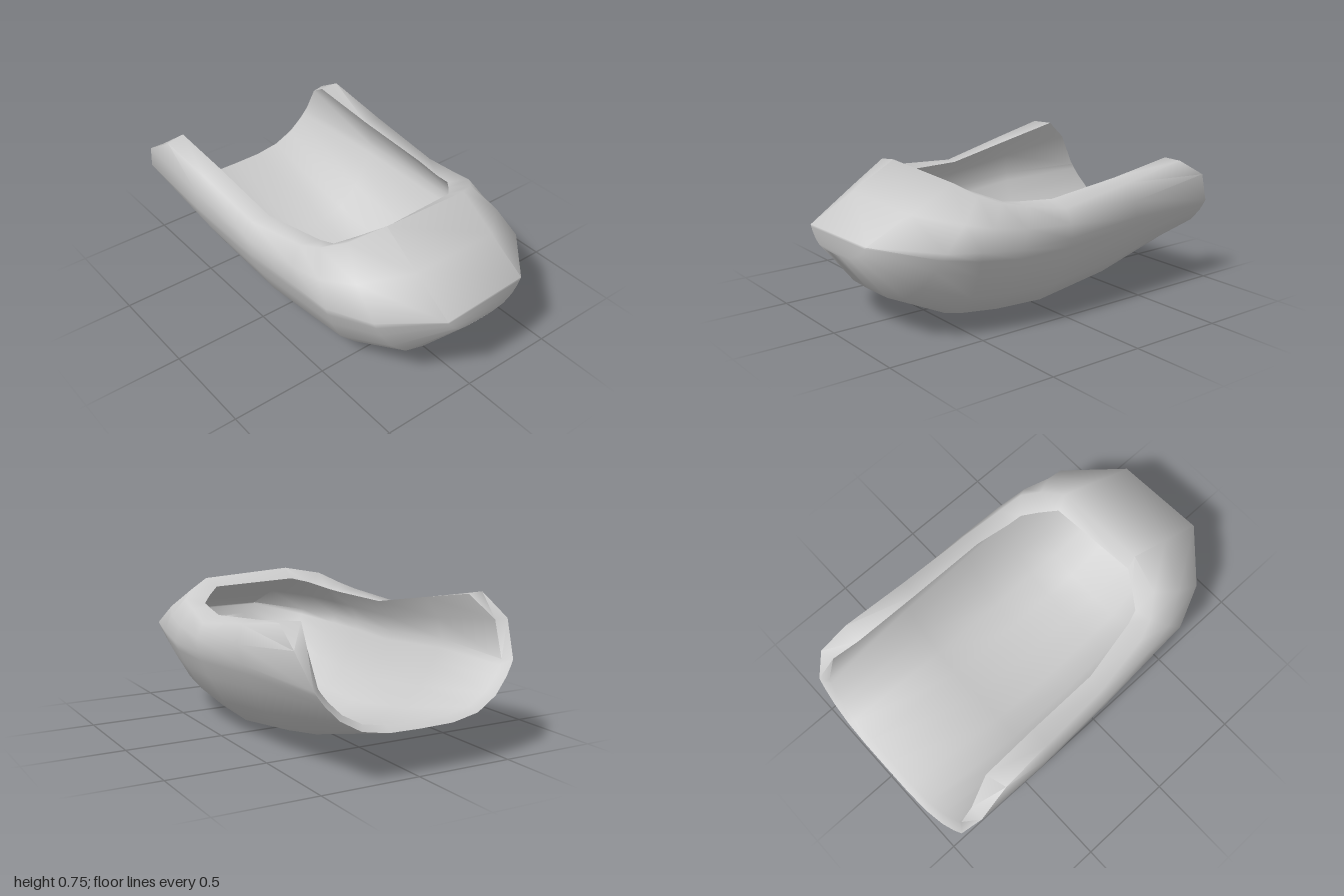
import * as THREE from 'three';
import { toCreasedNormals } from 'three/addons/utils/BufferGeometryUtils.js';

// Stations from the open end to the tip of the toe. Each row holds:
// front inner lip, front outer lip, front girth, keel (x, y), back girth, back outer lip, back inner lip
const stations = [
  [[-0.71, 0.74, 0.47], [-0.68, 0.74, 0.575], [-0.95, 0.46, 0.55], [-1, 0.22], [-0.965, 0.44, -0.515], [-0.72, 0.69, -0.545], [-0.72, 0.69, -0.44]],
  [[-0.4, 0.685, 0.45], [-0.4, 0.685, 0.55], [-0.45, 0.47, 0.575], [-0.4, 0.06], [-0.4, 0.45, -0.57], [-0.35, 0.63, -0.55], [-0.35, 0.64, -0.455]],
  [[0, 0.61, 0.43], [-0.02, 0.605, 0.52], [0, 0.44, 0.555], [0.03, 0], [0.05, 0.43, -0.595], [0.06, 0.57, -0.56], [0.07, 0.6, -0.47]],
  [[0.32, 0.625, 0.365], [0.3, 0.635, 0.47], [0.32, 0.45, 0.535], [0.3, 0.015], [0.34, 0.43, -0.598], [0.27, 0.61, -0.53], [0.25, 0.61, -0.44]],
  [[0.39, 0.635, 0.34], [0.4, 0.66, 0.43], [0.56, 0.45, 0.52], [0.5, 0.035], [0.55, 0.45, -0.57], [0.4, 0.64, -0.51], [0.33, 0.62, -0.43]],
  [[0.45, 0.67, 0.25], [0.5, 0.71, 0.35], [0.78, 0.46, 0.42], [0.81, 0.18], [0.72, 0.47, -0.54], [0.48, 0.675, -0.44], [0.4, 0.65, -0.37]],
  [[0.5, 0.69, 0.17], [0.55, 0.745, 0.16], [1, 0.49, 0.18], [1, 0.4], [0.98, 0.49, -0.3], [0.54, 0.72, -0.33], [0.47, 0.68, -0.3]],
];
const last = stations.length - 1;

// Outward swelling of the wall halfway between lip and girth
const swell = (i) => (i === 0 ? [-0.035, 0.035, 0.03] : [0, 0, i === last ? 0 : 0.02]);

// Half of a rounded U: shoulder, girth, then down towards the keel
const depths = [1, 0.97, 0.91, 0.78, 0.58, 0.32];
function half(lip, girth, keel, [bx, by, bz]) {
  const shoulder = [
    (lip[0] + girth[0]) / 2 + bx,
    (lip[1] + girth[1]) / 2 + by,
    (lip[2] + girth[2]) / 2 + bz * Math.sign(girth[2]),
  ];
  const lower = depths.map((s) => {
    const f = Math.pow(s, 3.9);
    return [keel[0] + (girth[0] - keel[0]) * f, keel[1] + (girth[1] - keel[1]) * f, girth[2] * s];
  });
  return [lip, shoulder, ...lower];
}

// Whole U section from the front lip to the back lip
const section = (lipF, girthF, keel, girthB, lipB, bulge) => [
  ...half(lipF, girthF, keel, bulge),
  [...keel, 0],
  ...half(lipB, girthB, keel, bulge).reverse(),
];

// Girth of the hollow, set in by the wall thickness
const inset = ([x, y, z]) => [x * 0.965, y, z * 0.925];

function shellGeometry() {
  const outer = stations.map(([, lipF, gF, keel, gB, lipB], i) => section(lipF, gF, keel, gB, lipB, swell(i)));
  const inner = stations.map(([lipF, , gF, [kx, ky], gB, , lipB], i) =>
    section(lipF, inset(gF), [kx * 0.965, ky + 0.025], inset(gB), lipB, swell(i)));
  const positions = [];
  const quad = (a, b, c, d) => positions.push(...a, ...b, ...c, ...a, ...c, ...d);
  const end = outer[0].length - 1;

  // a skin of sections, closed by zipping the tip section shut
  const skin = (rows, face) => {
    for (let i = 0; i < last; i++) {
      for (let j = 0; j < end; j++) face(rows[i][j], rows[i][j + 1], rows[i + 1][j + 1], rows[i + 1][j]);
    }
    const tip = rows[last];
    for (let j = 0; j < end / 2 - 1; j++) face(tip[j], tip[j + 1], tip[end - 1 - j], tip[end - j]);
  };
  skin(outer, quad);
  skin(inner, (a, b, c, d) => quad(d, c, b, a));

  // rim joining both skins around the opening and the open end
  const border = (rows) => [
    ...rows.map((r) => r[0]),
    ...rows.map((r) => r[end]).reverse(),
    ...rows[0].slice(1, end).reverse(),
  ];
  const rimIn = border(inner), rimOut = border(outer);
  rimIn.forEach((p, i) => {
    const n = (i + 1) % rimIn.length;
    quad(p, rimOut[i], rimOut[n], rimIn[n]);
  });

  const geometry = new THREE.BufferGeometry();
  geometry.setAttribute('position', new THREE.Float32BufferAttribute(positions, 3));
  return toCreasedNormals(geometry, 1.4);
}

export function createModel() {
  const model = new THREE.Group();
  model.name = 'scoopShell';
  const material = new THREE.MeshStandardMaterial({ color: 0xcccccc, side: THREE.DoubleSide });
  const shell = new THREE.Mesh(shellGeometry(), material);
  shell.name = 'shell';
  model.add(shell);
  return model;
}
